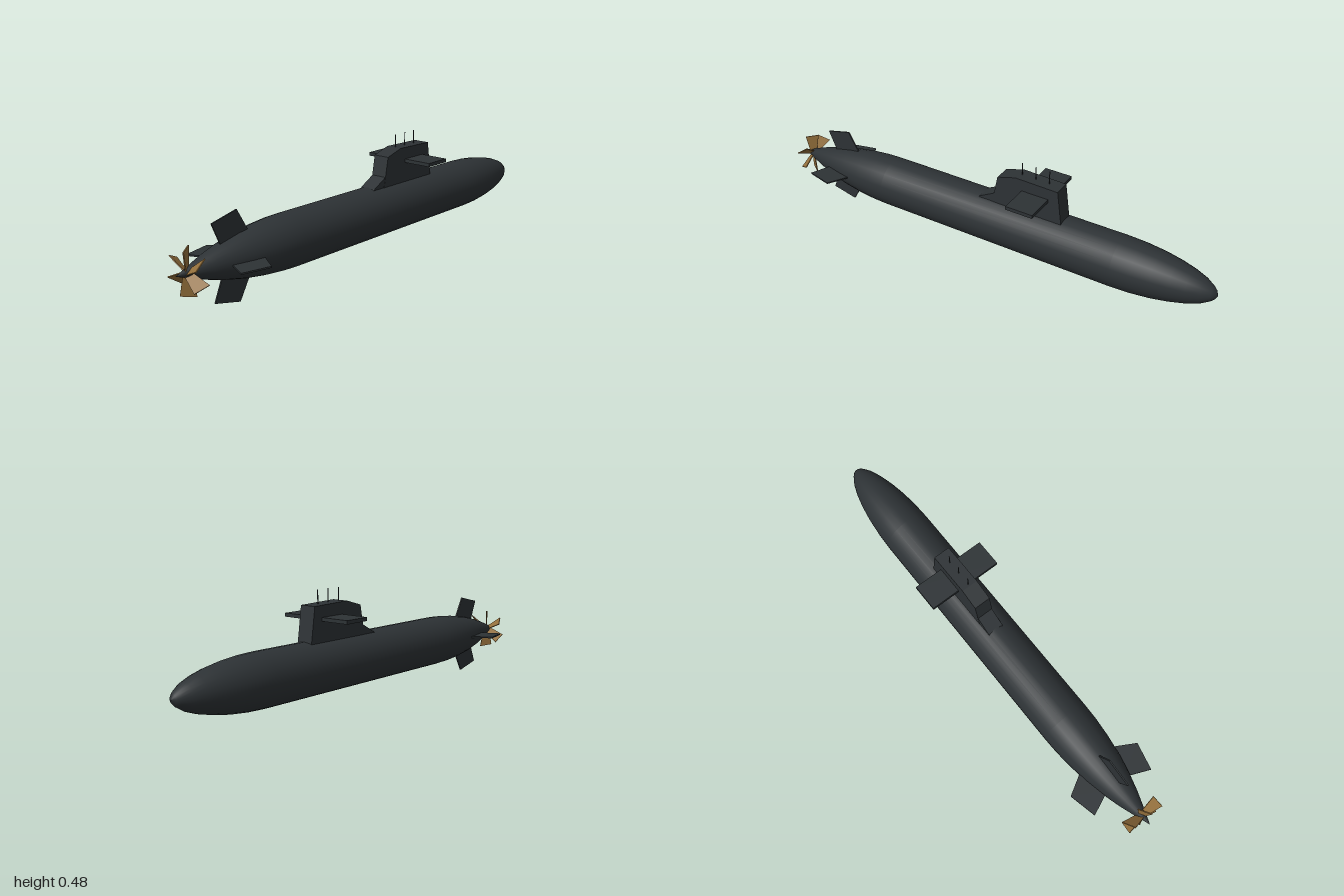
import * as THREE from 'three';

const AXIS = 0.175; // height of the hull centreline

const dark = new THREE.MeshStandardMaterial({ color: 0x2d3235 });
const bronze = new THREE.MeshStandardMaterial({ color: 0x94703c, side: THREE.DoubleSide });

function mesh(name, geometry, material = dark) {
  const m = new THREE.Mesh(geometry, material);
  m.name = name;
  return m;
}

// Flat outline in x/y, extruded symmetrically about z = 0
function plate(points, thickness) {
  const shape = new THREE.Shape(points.map(([x, y]) => new THREE.Vector2(x, y)));
  const g = new THREE.ExtrudeGeometry(shape, { depth: thickness, bevelEnabled: false });
  return g.translate(0, 0, -thickness / 2);
}

export function createModel() {
  const model = new THREE.Group();
  model.name = 'submarine';

  // Hull: [x, radius] from stern to bow
  const profile = [
    [-1, 0], [-0.93, 0.026], [-0.87, 0.047], [-0.8, 0.067], [-0.72, 0.085], [-0.63, 0.098],
    [-0.55, 0.105], [-0.48, 0.107], [0.6, 0.107], [0.68, 0.104], [0.76, 0.096], [0.83, 0.084],
    [0.89, 0.069], [0.94, 0.051], [0.975, 0.03], [0.988, 0.018], [0.997, 0],
  ].map(([x, r]) => new THREE.Vector2(r, x));
  const hull = mesh('hull', new THREE.LatheGeometry(profile, 24));
  hull.rotation.z = -Math.PI / 2;
  hull.position.y = AXIS;
  model.add(hull);

  // Sail with a sloped rear shoulder, and the wedge fairing behind it
  model.add(mesh('sail', plate(
    [[0.04, 0.24], [0.355, 0.24], [0.355, 0.28], [0.335, 0.42], [0.147, 0.424], [0.065, 0.4], [0.042, 0.28]], 0.072)));
  model.add(mesh('sailFairing', plate([[-0.03, 0.27], [0.05, 0.27], [0.05, 0.318], [-0.02, 0.28]], 0.07)));

  // Horizontal planes through the sail
  const planes = mesh('sailPlanes', new THREE.BoxGeometry(0.118, 0.015, 0.325));
  planes.position.set(0.236, 0.366, 0);
  model.add(planes);

  // Masts
  for (const x of [0.158, 0.219, 0.279]) {
    const mast = mesh('mast', new THREE.CylinderGeometry(0.002, 0.002, 0.07, 8));
    mast.position.set(x, 0.442, 0);
    model.add(mast);
  }

  // Four swept stern fins
  const finGeometry = plate([[-0.795, 0.04], [-0.65, 0.04], [-0.725, 0.174], [-0.84, 0.147]], 0.006);
  for (let i = 0; i < 4; i++) {
    const fin = mesh('sternFin', finGeometry);
    fin.rotation.x = i * Math.PI / 2;
    fin.position.y = AXIS;
    model.add(fin);
  }

  // Propeller: pitched blades that widen toward the tip
  const propeller = new THREE.Group();
  propeller.name = 'propeller';
  propeller.position.set(-0.952, AXIS, 0);
  const bladeGeometry = plate([[-0.014, 0.005], [0.014, 0.005], [0.031, 0.09], [-0.028, 0.082]], 0.004);
  bladeGeometry.rotateY(0.6);
  for (let i = 0; i < 6; i++) {
    const blade = mesh('propellerBlade', bladeGeometry, bronze);
    blade.rotation.x = i * Math.PI / 3;
    propeller.add(blade);
  }
  model.add(propeller);

  return model;
}
